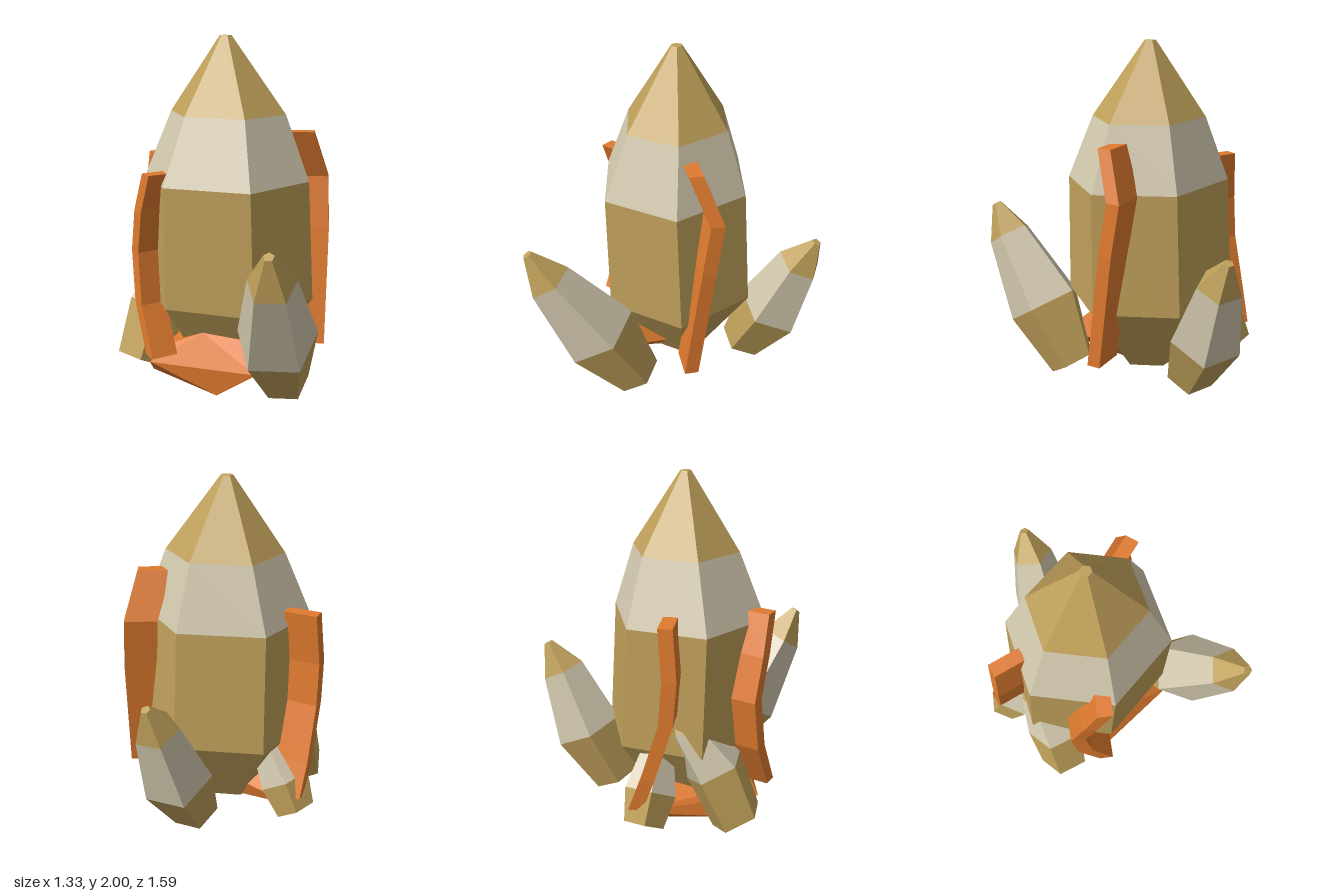
import * as THREE from 'three';
import { ConvexGeometry } from 'three/addons/geometries/ConvexGeometry.js';

const V = (x, y, z) => new THREE.Vector3(x, y, z);

const paint = (name, color) => {
  const m = new THREE.MeshStandardMaterial({ color, flatShading: true });
  m.name = name;
  return m;
};

// Flat-faced skin over rings of corners, listed from bottom to top
function loft(rings, capBottom, capTop) {
  const pts = [];
  const tri = (...p) => p.forEach((v) => pts.push(v));
  const n = rings[0].length;
  for (let k = 0; k + 1 < rings.length; k++) {
    for (let i = 0; i < n; i++) {
      const j = (i + 1) % n, lo = rings[k], up = rings[k + 1];
      tri(lo[i], up[i], up[j]);
      tri(lo[i], up[j], lo[j]);
    }
  }
  const top = rings[rings.length - 1];
  for (let i = 1; i + 1 < n; i++) {
    if (capBottom) tri(rings[0][0], rings[0][i], rings[0][i + 1]);
    if (capTop) tri(top[0], top[i + 1], top[i]);
  }
  const g = new THREE.BufferGeometry().setFromPoints(pts);
  g.computeVertexNormals();
  return g;
}

export function createModel() {
  const model = new THREE.Group();
  model.name = 'crystalCluster';
  const tan = paint('tan', 0xbfa05a);
  const beige = paint('beige', 0xd2c8ae);
  const orange = paint('orange', 0xe07b2f);

  const add = (parent, name, geometry, material) => {
    const mesh = new THREE.Mesh(geometry, material);
    mesh.name = name;
    parent.add(mesh);
  };

  // Faceted crystal; each section is [x, y, z, radius], the last two bands are beige and tan
  function crystal(name, sides, phase, sections, wide = 1, deep = 1) {
    const centres = sections.map(([x, y, z]) => V(x, y, z));
    const axis = centres[centres.length - 1].clone().sub(centres[0]).normalize();
    const u = V(1, 0, 0).addScaledVector(axis, -axis.x).normalize();
    const w = u.clone().cross(axis);
    const rings = sections.map((s, k) => Array.from({ length: sides }, (_, i) => {
      const a = THREE.MathUtils.degToRad(phase + i * 360 / sides);
      return centres[k].clone()
        .addScaledVector(u, s[3] * wide * Math.cos(a))
        .addScaledVector(w, s[3] * deep * Math.sin(a));
    }));
    const g = new THREE.Group();
    g.name = name;
    add(g, 'crystalBase', loft(rings.slice(0, -2), true, false), tan);
    add(g, 'crystalBand', loft(rings.slice(-3, -1), false, false), beige);
    add(g, 'crystalTip', loft(rings.slice(-2), false, true), tan);
    model.add(g);
  }

  crystal('mainCrystal', 6, -13, [
    [-0.05, 0.06, 0.05, 0.2], [-0.037, 0.5, 0.05, 0.497], [-0.04, 1.2, 0.072, 0.475],
    [-0.035, 1.57, 0.055, 0.33], [-0.045, 2, 0.055, 0.033],
  ], 1.04, 0.95);
  crystal('frontLeftCrystal', 5, 36, [
    [0.425, 0.085, 0.22, 0.14], [0.472, 0.415, 0.43, 0.23],
    [0.56, 0.82, 0.675, 0.134], [0.59, 1.0, 0.77, 0.03],
  ]);
  crystal('backCrystal', 5, 95, [
    [0.0, 0.09, -0.37, 0.138], [0.04, 0.4, -0.54, 0.206],
    [0.09, 0.775, -0.69, 0.13], [0.11, 0.94, -0.775, 0.028],
  ]);
  crystal('frontRightCrystal', 5, 62, [
    [-0.455, 0.09, 0.36, 0.155], [-0.42, 0.39, 0.23, 0.178],
    [-0.41, 0.64, 0.06, 0.11], [-0.37, 0.8, 0.0, 0.03],
  ]);
  crystal('backRightCrystal', 5, 36, [
    [-0.56, 0.1, -0.17, 0.118], [-0.48, 0.265, -0.135, 0.152],
    [-0.34, 0.48, -0.09, 0.09], [-0.28, 0.58, -0.06, 0.02],
  ]);

  // Bent bars that stand out from the main crystal, paths from bottom to top
  function bar(name, path, outX, outZ, depth, width) {
    const out = V(outX, 0, outZ).normalize();
    const side = V(-out.z, 0, out.x);
    const corners = [[1, -1], [1, 1], [-1, 1], [-1, -1]];
    const rings = path.map(([x, y, z]) => corners.map(([a, b]) => V(x, y, z)
      .addScaledVector(out, a * depth / 2)
      .addScaledVector(side, b * width / 2)));
    add(model, name, loft(rings, true, true), orange);
  }

  bar('frontBar', [
    [-0.225, 0.22, 0.495], [-0.34, 0.5, 0.425], [-0.375, 0.8, 0.395],
    [-0.32, 1.05, 0.435], [-0.24, 1.27, 0.465],
  ], -0.5, 0.87, 0.155, 0.085);
  bar('leftBar', [
    [0.43, 0.22, -0.09], [0.405, 0.9, -0.18], [0.375, 1.2, -0.22], [0.335, 1.47, -0.095],
  ], 0.93, -0.37, 0.19, 0.08);
  bar('rightBar', [
    [-0.51, 0.22, -0.2], [-0.53, 0.42, -0.13], [-0.545, 0.75, -0.03],
    [-0.545, 1.0, -0.01], [-0.52, 1.29, -0.03],
  ], -0.99, -0.12, 0.19, 0.08);

  // Angular rock under the cluster
  add(model, 'baseRock', new ConvexGeometry([
    V(-0.31, 0.15, 0.49), V(0.35, 0.19, 0.43), V(0.1, 0.01, 0.43), V(-0.38, 0.04, 0.36),
    V(-0.02, 0.35, 0.38), V(0.24, 0.345, 0.29), V(-0.17, 0.28, 0.41), V(-0.3, 0.21, 0.41),
    V(0, 0, 0.03), V(0.2, 0.19, 0.04), V(-0.37, 0.03, -0.02), V(-0.55, 0.17, -0.245),
  ]), orange);

  return model;
}
